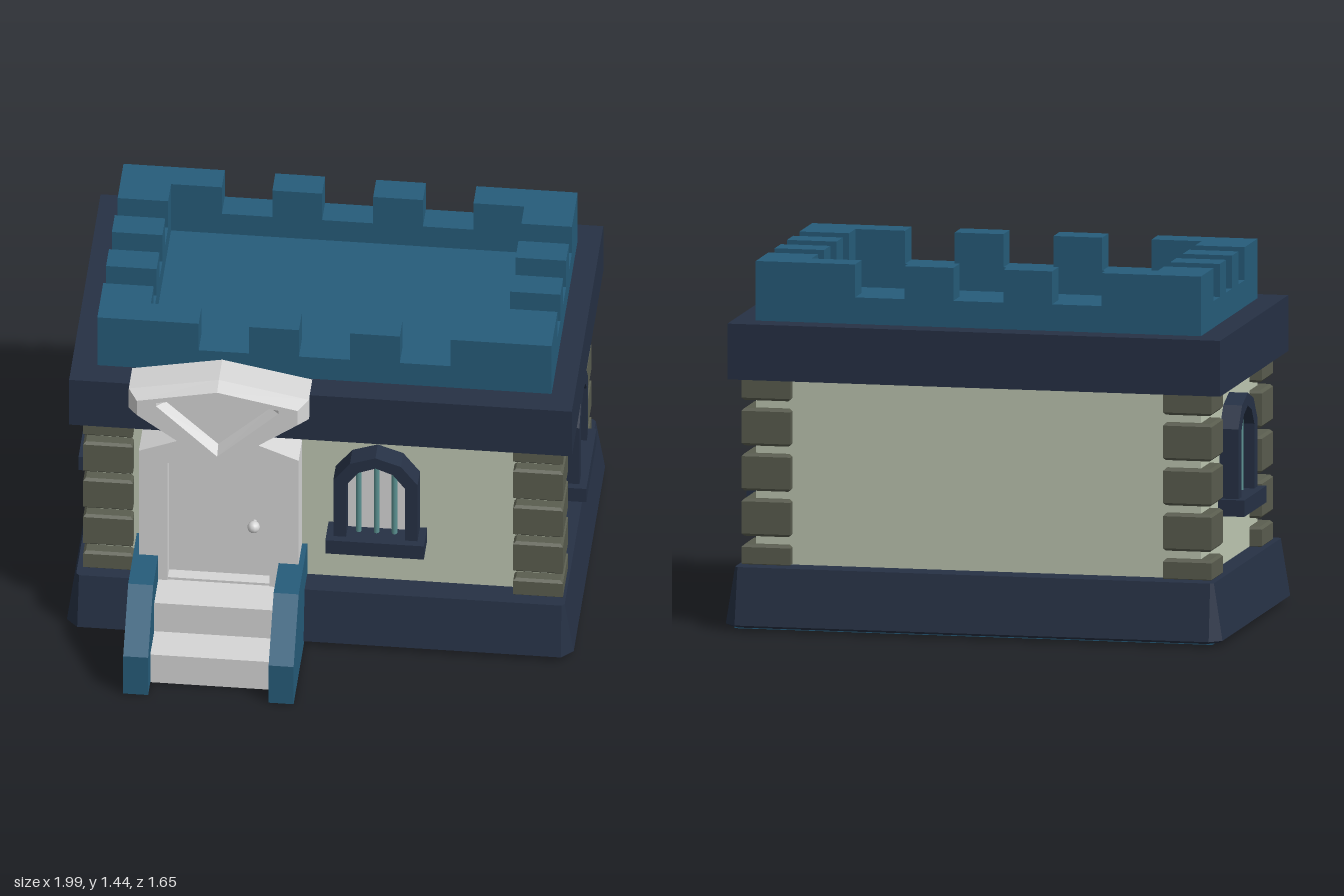
import * as THREE from 'three';

const mat = (name, color) => Object.assign(new THREE.MeshStandardMaterial({ color }), { name });

// Flat-faced solid through matching outlines [[x, y], ...] (counter-clockwise), each at its own z
function loft(rings) {
  const pos = [];
  const n = rings[0].pts.length;
  const at = (r, i) => [...r.pts[i % n], r.z];
  const tri = (a, b, c) => pos.push(...a, ...b, ...c);
  for (let k = 0; k < rings.length - 1; k++) {
    const [a, b] = [rings[k], rings[k + 1]];
    for (let i = 0; i < n; i++) {
      tri(at(a, i), at(a, i + 1), at(b, i + 1));
      tri(at(a, i), at(b, i + 1), at(b, i));
    }
  }
  const [first, last] = [rings[0], rings[rings.length - 1]];
  for (let i = 1; i < n - 1; i++) {
    tri(at(first, 0), at(first, i + 1), at(first, i));
    tri(at(last, 0), at(last, i), at(last, i + 1));
  }
  const g = new THREE.BufferGeometry();
  g.setAttribute('position', new THREE.Float32BufferAttribute(pos, 3));
  g.computeVertexNormals();
  return g;
}

// Rectangle outline with cut corners
const cutRect = (w, d, c) => [
  [w - c, -d], [w, -d + c], [w, d - c], [w - c, d], [-w + c, d], [-w, d - c], [-w, -d + c], [-w + c, -d],
];
const shapeOf = (pts) => new THREE.Shape(pts.map(([x, y]) => new THREE.Vector2(x, y)));
const extrude = (shape, depth) => new THREE.ExtrudeGeometry(shape, { depth, bevelEnabled: false });

export function createModel() {
  const navy = mat('navy trim', 0x263145);
  const blue = mat('blue stone', 0x265c7a);
  const green = mat('pale green wall', 0xbfc8b3);
  const white = mat('white stone', 0xd6d6d6);
  const olive = mat('olive stone', 0x5a5d4f);
  const teal = mat('teal bars', 0x5b9292);

  const model = new THREE.Group();
  const CZ = -0.1875; // centre of the building along z

  const add = (parent, name, geo, material, x = 0, y = 0, z = 0) => {
    const m = new THREE.Mesh(geo, material);
    m.name = name;
    m.position.set(x, y, z);
    parent.add(m);
    return m;
  };
  const box = (parent, name, material, x0, x1, y0, y1, z0, z1) =>
    add(parent, name, new THREE.BoxGeometry(x1 - x0, y1 - y0, z1 - z0), material,
      (x0 + x1) / 2, (y0 + y1) / 2, (z0 + z1) / 2);

  // Sloping plinth with cut corners, and its underside
  const plinth = loft([
    { pts: cutRect(0.975, 0.62, 0.04), z: 0.012 },
    { pts: cutRect(0.993, 0.637, 0.045), z: 0.022 },
    { pts: cutRect(0.957, 0.598, 0.012), z: 0.247 },
  ]).rotateX(-Math.PI / 2);
  add(model, 'plinth', plinth, navy, -0.006, 0, CZ);
  box(model, 'underside', blue, -0.96, 0.95, 0.006, 0.014, CZ - 0.6, CZ + 0.6);

  // Walls and cornice
  box(model, 'walls', green, -0.89, 0.89, 0.24, 0.99, -0.675, 0.31);
  box(model, 'cornice', navy, -0.99, 0.98, 0.985, 1.205, -0.78, 0.41);

  // Corner stones with small bevels
  const stone = (h) => {
    const b = 0.01, s = 0.0975 - b;
    const g = new THREE.ExtrudeGeometry(shapeOf([[-s, -s], [s, -s], [s, s], [-s, s]]), {
      depth: h - 2 * b, bevelSize: b, bevelThickness: b, bevelSegments: 1,
    });
    return g.translate(0, 0, b).rotateX(-Math.PI / 2);
  };
  const courses = [[0.24, 0.325], [0.358, 0.505], [0.537, 0.683], [0.715, 0.862], [0.894, 0.99]];
  for (const sx of [-1, 1]) for (const z of [0.2625, -0.6125]) {
    for (const [y0, y1] of courses) add(model, 'cornerStone', stone(y1 - y0), olive, sx * 0.8425, y0, z);
  }

  // Roof deck and parapet
  box(model, 'roofDeck', blue, -0.7, 0.7, 1.195, 1.212, -0.58, 0.2);
  const wall = shapeOf([[-0.89, -0.4925], [0.89, -0.4925], [0.89, 0.4925], [-0.89, 0.4925]]);
  wall.holes.push(shapeOf([[-0.692, -0.3825], [-0.692, 0.3825], [0.692, 0.3825], [0.692, -0.3825]]));
  add(model, 'parapet', extrude(wall, 0.11).rotateX(-Math.PI / 2), blue, 0, 1.2, CZ);

  // Merlons, mirrored to all sides: L-shaped at the corners, plain between
  const merlon = (sx, sz, x0, x1, z0, z1) => {
    const [xa, xb] = [sx * x0, sx * x1].sort((a, b) => a - b);
    const [za, zb] = [CZ + sz * z0, CZ + sz * z1].sort((a, b) => a - b);
    box(model, 'merlon', blue, xa, xb, 1.31, 1.44, za, zb);
  };
  for (const sx of [-1, 1]) for (const sz of [-1, 1]) {
    merlon(sx, sz, 0.493, 0.89, 0.3825, 0.4925);
    merlon(sx, sz, 0.692, 0.89, 0.2725, 0.3825);
    merlon(sx, sz, 0.1, 0.295, 0.3825, 0.4925);
    merlon(sx, sz, 0.692, 0.89, 0.055, 0.163);
  }

  // Arched window, facing +z, with its wall at z = 0
  const arch = (w, spring, shoulderX, shoulderY, top) => [
    [-w, 0.5], [w, 0.5], [w, spring], [shoulderX, shoulderY], [0, top], [-shoulderX, shoulderY], [-w, spring],
  ];
  const makeWindow = (name, x, z, turn) => {
    const win = new THREE.Group();
    win.name = name;
    const outer = shapeOf(arch(0.165, 0.79, 0.1, 0.875, 0.91));
    const inner = arch(0.115, 0.77, 0.068, 0.833, 0.86);
    outer.holes.push(shapeOf(inner));
    add(win, 'windowFrame', extrude(outer, 0.09), navy, 0, 0, -0.015);
    add(win, 'windowPane', new THREE.ShapeGeometry(shapeOf(inner)), white, 0, 0, 0.006);
    for (const bx of [-0.07, 0, 0.07]) {
      add(win, 'windowBar', new THREE.CylinderGeometry(0.011, 0.011, 0.35, 8), teal, bx, 0.675, 0.03);
    }
    box(win, 'windowSill', navy, -0.193, 0.193, 0.45, 0.515, -0.015, 0.105);
    win.position.set(x, 0, z);
    win.rotation.y = turn;
    model.add(win);
  };
  makeWindow('frontWindow', 0.21, 0.33, 0);
  makeWindow('leftWindow', 0.89, CZ, Math.PI / 2);
  makeWindow('rightWindow', -0.89, CZ, -Math.PI / 2);
  box(model, 'windowBacking', green, 0.06, 0.36, 0.5, 0.78, 0.3, 0.32);

  // Doorway with a gabled surround, recessed door and knob
  const DX = -0.4;
  const surround = shapeOf([
    [-0.313, 0.24], [-0.2, 0.24], [-0.2, 0.853], [0.2, 0.853], [0.2, 0.24], [0.313, 0.24],
    [0.313, 0.905], [0, 1.03], [-0.313, 0.905],
  ]);
  add(model, 'doorSurround', extrude(surround, 0.145), white, DX, 0, 0.3);
  box(model, 'door', white, DX - 0.2, DX + 0.2, 0.27, 0.86, 0.3, 0.39);
  box(model, 'doorThreshold', white, DX - 0.2, DX + 0.2, 0.24, 0.288, 0.3, 0.44);
  add(model, 'doorKnobStem', new THREE.CylinderGeometry(0.01, 0.01, 0.03, 8).rotateX(Math.PI / 2),
    white, -0.265, 0.55, 0.4);
  add(model, 'doorKnob', new THREE.SphereGeometry(0.025, 10, 8), white, -0.265, 0.55, 0.425);

  // Pediment over the door: bevelled rim around a sunken face
  const shield = (w, top, shoulder, low, tip) => [
    [0, tip], [w, low], [w, shoulder], [0, top], [-w, shoulder], [-w, low],
  ];
  const rim = shield(0.353, 1.275, 1.205, 1.11, 0.86);
  const front = shield(0.315, 1.26, 1.195, 1.125, 0.895);
  add(model, 'pediment', loft([
    { pts: rim, z: 0.31 },
    { pts: rim, z: 0.44 },
    { pts: front, z: 0.503 },
    { pts: shield(0.24, 1.236, 1.19, 1.175, 0.945), z: 0.503 },
    { pts: shield(0.205, 1.215, 1.177, 1.168, 0.975), z: 0.46 },
  ]), white, DX);

  // Steps and their sloping side walls
  box(model, 'lowerStep', white, DX - 0.24, DX + 0.24, 0.002, 0.138, 0.4, 0.745);
  box(model, 'upperStep', white, DX - 0.24, DX + 0.24, 0.138, 0.277, 0.4, 0.595);
  const cheek = shapeOf([[-0.825, 0], [-0.15, 0], [-0.15, 0.2], [-0.31, 0.395], [-0.635, 0.395], [-0.825, 0.183]]);
  for (const x of [-0.735, -0.165]) {
    // the profile runs along -z, the thickness along +x
    add(model, 'stairSideWall', extrude(cheek, 0.098).rotateY(Math.PI / 2), blue, x, 0, 0);
  }
  return model;
}
